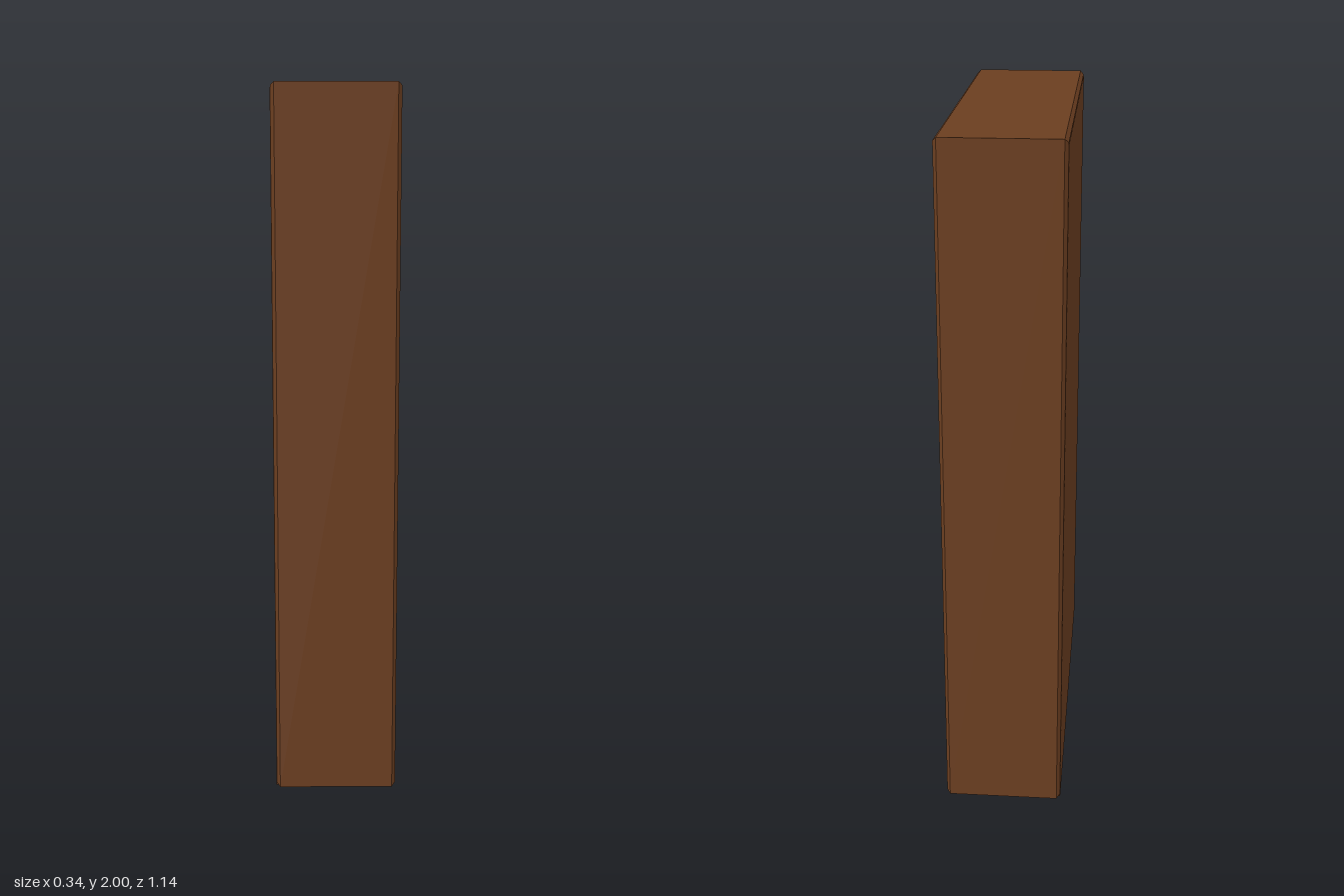
import * as THREE from 'three';

const HALF_W = 0.57, INNER = 0.542, DEPTH = 0.345, BEVEL = 0.01;
const SHELF_TOPS = [1.637, 1.271, 0.905, 0.54, 0.175];
const SHELF_T = 0.04, SLOTS = 22, BOOK_H = 0.28;

const mat = (color) => new THREE.MeshStandardMaterial({ color, roughness: 0.9, flatShading: true });

// Path helper: closed polygon from corner pairs
const poly = (Type, pts) => new Type(pts.map(([x, y]) => new THREE.Vector2(x, y)));
const rect = (Type, x0, x1, y0, y1) => poly(Type, [[x0, y0], [x1, y0], [x1, y1], [x0, y1]]);

// Extrude with chamfers that stay inside the outline; spans z0..z1
function chamfered(shape, z0, z1, b) {
  const g = new THREE.ExtrudeGeometry(shape, {
    depth: z1 - z0 - 2 * b, bevelEnabled: true, bevelSegments: 1,
    bevelThickness: b, bevelSize: b, bevelOffset: -b,
  });
  return g.translate(0, 0, z0 + b);
}

// One row per shelf, left to right. A digit follows a leaning book:
// > or < fills two slots and leans right or left, ) or ( tilts slightly.
const ROWS = [
  'RGGRBRG(RRBBRG>RRBRGRR<',
  'GRR>GRBRGRR(GGRRB<GRRGR',
  'GGBGRGR)RRRGBR<RGRGRBB>',
  'GRB<RGBRRRG)RRBBR>RRGRR',
  'RGGBBGR(RGRBRG>RRBGGRR<',
];
const TILT = { '>': -0.175, '<': 0.175, ')': -0.035, '(': 0.035 };

export function createModel() {
  const model = new THREE.Group();
  model.name = 'bookcase';
  // Built facing +z, then turned so the open side faces +x
  const body = new THREE.Group();
  body.name = 'bookcaseBody';
  body.rotation.y = Math.PI / 2;
  model.add(body);

  const wood = mat(0x6b3e20);
  const covers = { R: mat(0x6b1210), G: mat(0x1c4418), B: mat(0x32185a) };

  // Sides, top and shelves as one frame with an open foot
  const footTop = SHELF_TOPS[4] - SHELF_T;
  const outline = poly(THREE.Shape, [
    [-HALF_W, 0], [-INNER, 0], [-INNER, footTop], [INNER, footTop],
    [INNER, 0], [HALF_W, 0], [HALF_W, 2], [-HALF_W, 2],
  ]);
  SHELF_TOPS.forEach((y, i) => {
    const ceiling = i === 0 ? 1.97 : SHELF_TOPS[i - 1] - SHELF_T;
    outline.holes.push(rect(THREE.Path, -INNER, INNER, y, ceiling));
  });
  const frame = new THREE.Mesh(chamfered(outline, -DEPTH / 2 + 0.001, DEPTH / 2, BEVEL), wood);
  frame.name = 'frameAndShelves';
  body.add(frame);

  // Back panel, down to the floor
  const back = new THREE.Mesh(new THREE.BoxGeometry(2 * INNER + 0.03, 1.985, 0.025), wood);
  back.name = 'backPanel';
  back.position.set(0, 1.985 / 2, -DEPTH / 2 + 0.0125);
  body.add(back);

  // Books
  const pitch = (2 * INNER) / SLOTS, w = pitch - 0.002;
  const bookGeo = chamfered(rect(THREE.Shape, -w / 2, w / 2, -BOOK_H / 2, BOOK_H / 2), -0.1, 0.125, 0.004);
  ROWS.forEach((row, r) => {
    const shelf = new THREE.Group();
    shelf.name = `bookRow${r + 1}`;
    shelf.position.y = SHELF_TOPS[r] + BOOK_H / 2 + 0.001;
    let slot = 0;
    for (const [, color, lean] of row.matchAll(/([RGB])([<>()]?)/g)) {
      const span = lean === '<' || lean === '>' ? 2 : 1;
      const book = new THREE.Mesh(bookGeo, covers[color]);
      book.name = 'book';
      book.position.x = -INNER + (slot + span / 2) * pitch;
      book.rotation.z = TILT[lean] ?? 0;
      shelf.add(book);
      slot += span;
    }
    body.add(shelf);
  });

  return model;
}
